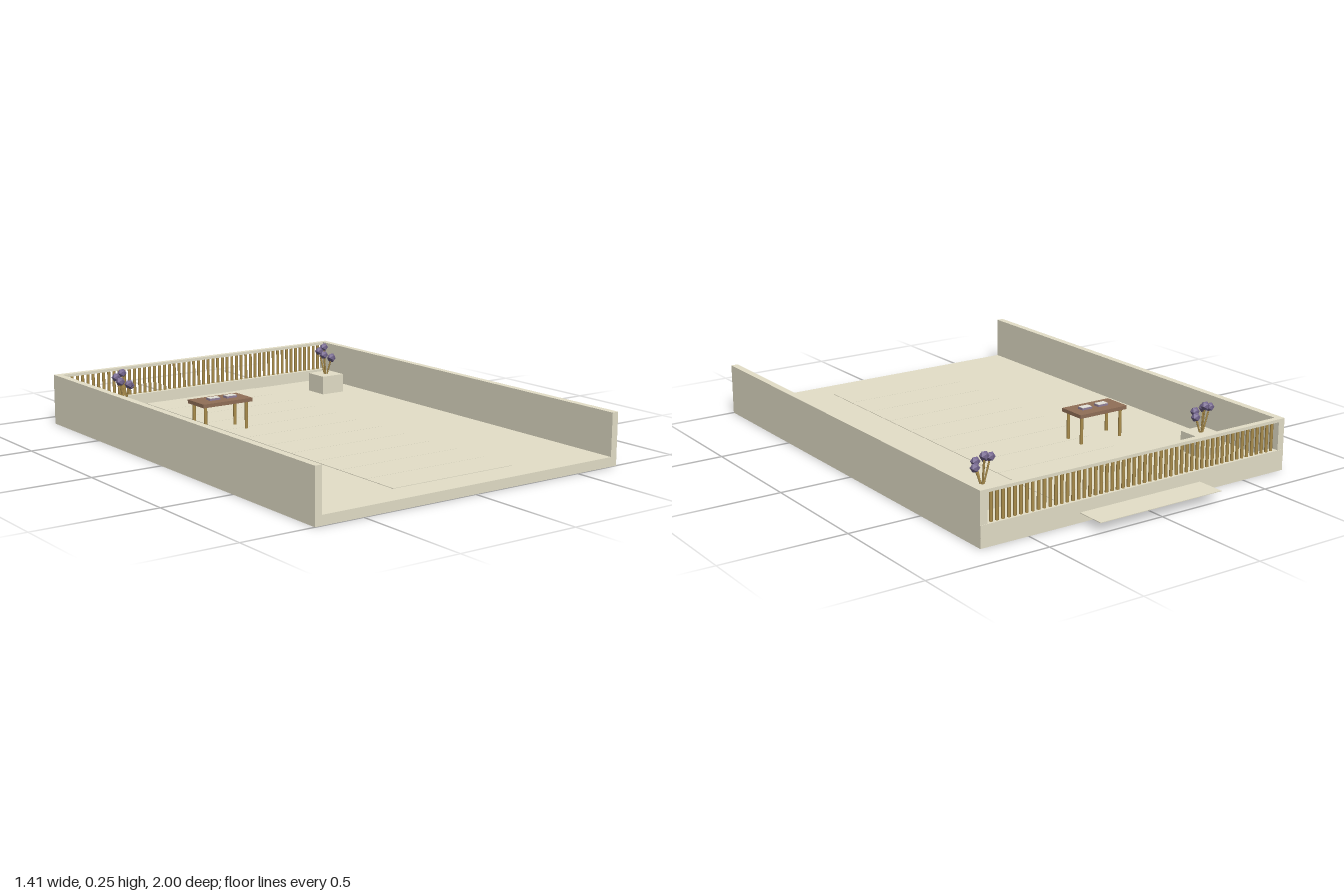
import * as THREE from 'three';

const material = (name, color) => {
  const m = new THREE.MeshStandardMaterial({ color });
  m.name = name;
  return m;
};

export function createModel() {
  const stone = material('pale stone', 0xe5e0c9);
  const wood = material('golden wood', 0xb0924f);
  const tableWood = material('brown wood', 0x927058);
  const purple = material('purple', 0x75678f);
  const mauve = material('mauve', 0x93809a);
  const paper = material('paper', 0xe6e4dc);

  const model = new THREE.Group();
  model.name = 'terrace';

  // Box given by its lower and upper bounds
  const box = (parent, name, mat, [x0, x1], [y0, y1], [z0, z1]) => {
    const mesh = new THREE.Mesh(new THREE.BoxGeometry(x1 - x0, y1 - y0, z1 - z0), mat);
    mesh.position.set((x0 + x1) / 2, (y0 + y1) / 2, (z0 + z1) / 2);
    mesh.name = name;
    parent.add(mesh);
  };

  // Round rod between two points
  const rod = (parent, name, mat, a, b, radius) => {
    const dir = b.clone().sub(a);
    const mesh = new THREE.Mesh(new THREE.CylinderGeometry(radius, radius, dir.length(), 6), mat);
    mesh.position.copy(a).add(b).multiplyScalar(0.5);
    mesh.quaternion.setFromUnitVectors(new THREE.Vector3(0, 1, 0), dir.normalize());
    mesh.name = name;
    parent.add(mesh);
  };
  const post = (parent, name, mat, x, z, y0, y1, radius) =>
    rod(parent, name, mat, new THREE.Vector3(x, y0, z), new THREE.Vector3(x, y1, z), radius);

  // Floor and side walls
  const FLOOR = 0.038;
  box(model, 'floor', stone, [-0.674, 0.674], [0, FLOOR], [-0.88, 1]);
  box(model, 'rightWall', stone, [-0.703, -0.674], [0, 0.21], [-0.88, 1]);
  box(model, 'leftWall', stone, [0.674, 0.703], [0, 0.21], [-0.88, 1]);

  // Back railing: low wall, balusters and top rail
  const railing = new THREE.Group();
  railing.name = 'railing';
  model.add(railing);
  box(railing, 'lowWall', stone, [-0.702, 0.702], [FLOOR, 0.085], [-0.882, -0.846]);
  box(railing, 'topRail', stone, [-0.674, 0.674], [0.198, 0.21], [-0.88, -0.855]);
  for (let i = 1; i < 54; i++) {
    post(railing, 'baluster', wood, -0.675 + i * 0.025, -0.867, 0.085, 0.198, 0.0065);
  }

  // Walkway of thin slabs, the last one reaching out behind the railing
  const pitch = 1.88 / 12;
  for (let i = 0; i < 12; i++) {
    const z = -1 + i * pitch;
    box(model, 'pathSlab', stone, [-0.28, 0.28], [FLOOR - 0.0005, FLOOR + 0.002], [z, z + pitch - (i < 11 ? 0.002 : 0)]);
  }

  // Planters with five faceted blooms at rising heights
  const bloom = new THREE.IcosahedronGeometry(0.019, 0);
  for (const [name, x] of [['rightPlanter', -0.518], ['leftPlanter', 0.515]]) {
    const planter = new THREE.Group();
    planter.name = name;
    planter.position.set(x, 0, -0.615);
    model.add(planter);
    box(planter, 'planterBox', stone, [-0.055, 0.055], [FLOOR, 0.118], [-0.055, 0.055]);
    for (let i = 0; i < 5; i++) {
      const angle = (i * Math.PI * 2) / 5;
      const head = new THREE.Vector3(0.03 * Math.cos(angle), 0.183 + i * 0.0125, 0.03 * Math.sin(angle));
      const root = new THREE.Vector3(head.x * 0.2, 0.116, head.z * 0.2);
      rod(planter, 'stem', wood, root, head, 0.0035);
      const flower = new THREE.Mesh(bloom, purple);
      flower.position.copy(head);
      flower.name = 'bloom';
      planter.add(flower);
    }
  }

  // Table with two books
  const table = new THREE.Group();
  table.name = 'table';
  model.add(table);
  box(table, 'tableTop', tableWood, [-0.4, -0.168], [0.152, 0.167], [-0.301, -0.18]);
  for (const x of [-0.381, -0.187]) {
    for (const z of [-0.283, -0.197]) post(table, 'tableLeg', wood, x, z, FLOOR, 0.152, 0.0068);
  }
  for (const x of [-0.317, -0.237]) {
    box(table, 'book', mauve, [x - 0.024, x + 0.024], [0.167, 0.175], [-0.255, -0.225]);
    box(table, 'bookPage', paper, [x - 0.023, x + 0.023], [0.175, 0.177], [-0.254, -0.226]);
  }

  return model;
}
